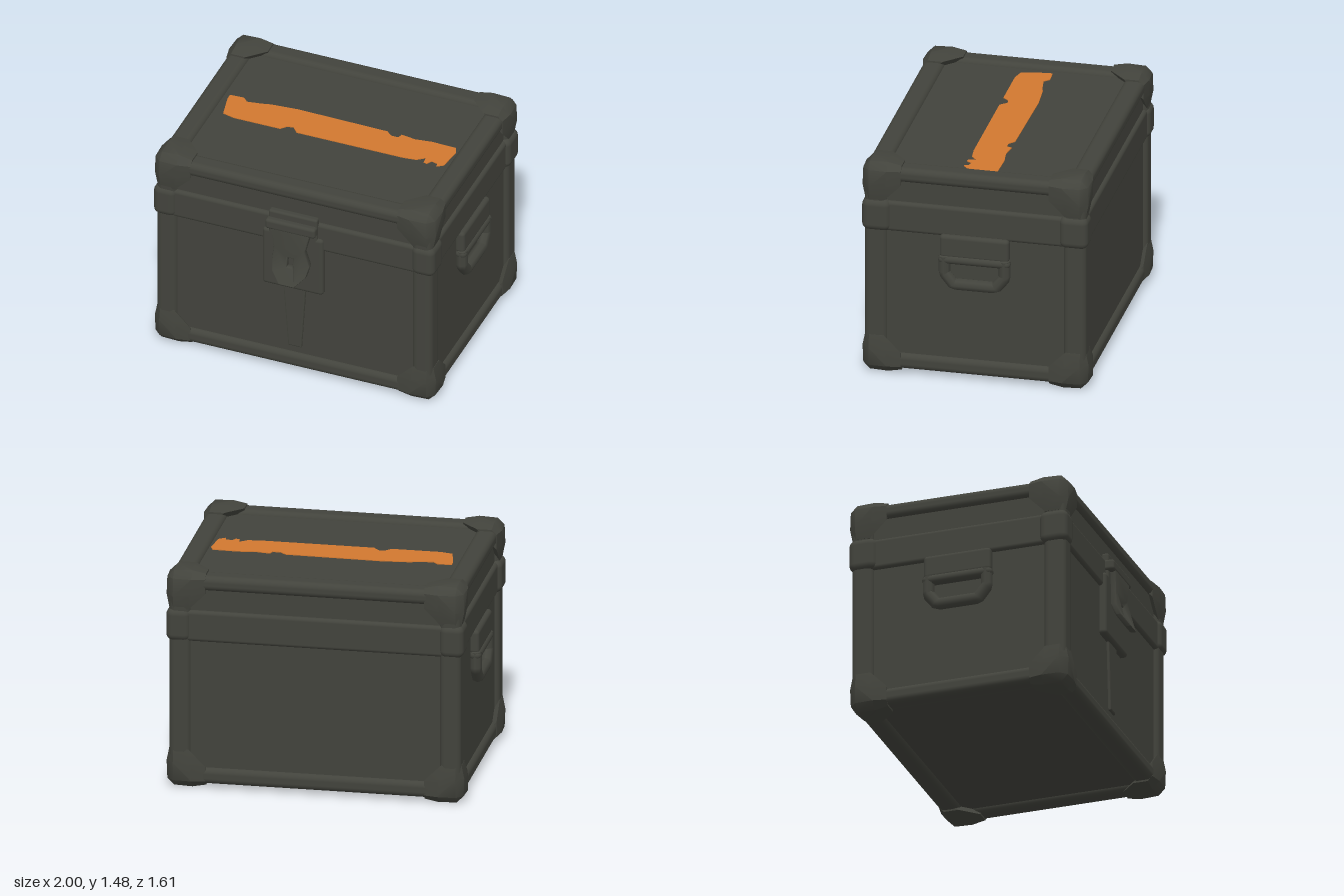
import * as THREE from 'three';
import { RoundedBoxGeometry } from 'three/addons/geometries/RoundedBoxGeometry.js';
import { ConvexGeometry } from 'three/addons/geometries/ConvexGeometry.js';
import { toCreasedNormals } from 'three/addons/utils/BufferGeometryUtils.js';

const ZC = -0.06; // centre of the case in depth
const HX = 0.96, HZ = 0.735; // half width and half depth over the rails
const Y0 = 0.03, Y1 = 1.45;

export function createModel() {
  const darkPaint = new THREE.MeshStandardMaterial({ color: 0x42433c });
  darkPaint.name = 'dark olive paint';
  const orangePaint = new THREE.MeshStandardMaterial({ color: 0xd1782f });
  orangePaint.name = 'orange paint';

  const model = new THREE.Group();
  model.name = 'storageCase';

  const add = (name, geometry, parent = model, material = darkPaint) => {
    const mesh = new THREE.Mesh(geometry, material);
    mesh.name = name;
    parent.add(mesh);
    return mesh;
  };
  // Rounded box given by its limits on each axis
  const box = (name, x, y, z, r = 0.03, parent = model) => {
    const mesh = add(name, new RoundedBoxGeometry(x[1] - x[0], y[1] - y[0], z[1] - z[0], 3, r), parent);
    mesh.position.set((x[0] + x[1]) / 2, (y[0] + y[1]) / 2, (z[0] + z[1]) / 2);
    return mesh;
  };
  // Limits of a strip running inward from an outer face
  const strip = (s, outer, width, c = 0) =>
    s > 0 ? [c + outer - width, c + outer] : [c - outer, c - outer + width];

  // Recessed panels and the lid lip
  box('bodyPanels', [-HX + 0.03, HX - 0.03], [Y0 + 0.03, 1.42], [ZC - HZ + 0.03, ZC + HZ - 0.03], 0.02);
  box('lidLip', [-HX + 0.005, HX - 0.005], [1.0, 1.21], [ZC - HZ + 0.005, ZC + HZ - 0.005], 0.025);

  // Edge rails
  const rails = new THREE.Group();
  rails.name = 'edgeRails';
  model.add(rails);
  const SIGNS = [-1, 1];
  for (const a of SIGNS) {
    for (const b of SIGNS) {
      box('uprightRail', strip(a, HX, 0.14), [Y0 + 0.02, Y1 - 0.02], strip(b, HZ, 0.15, ZC), 0.04, rails);
      const y = a > 0 ? [Y1 - 0.1, Y1] : [Y0, Y0 + 0.11];
      box('longRail', [-HX + 0.03, HX - 0.03], y, strip(b, HZ, 0.14, ZC), 0.04, rails);
      box('sideRail', strip(b, HX, 0.14), y, [ZC - HZ + 0.03, ZC + HZ - 0.03], 0.04, rails);
    }
  }

  // Corner caps: three short arms hulled together, measured inward from the corner
  const capPoints = [];
  const put = (axis, along, p, q) => {
    const v = [0, 0, 0];
    v[axis] = along;
    v[(axis + 1) % 3] = p;
    v[(axis + 2) % 3] = q;
    capPoints.push(v);
  };
  const W = 0.15, B = 0.05;
  for (let axis = 0; axis < 3; axis++) {
    put(axis, 0.005, B, B);
    for (const [along, e] of [[0.17, 0], [0.26, 0.018]]) {
      put(axis, along, e, B);
      put(axis, along, B, e);
      put(axis, along, e, W);
      put(axis, along, W, e);
    }
  }
  const caps = new THREE.Group();
  caps.name = 'cornerCaps';
  model.add(caps);
  for (const sx of SIGNS) {
    for (const sz of SIGNS) {
      for (const sy of SIGNS) {
        const pts = capPoints.map(([x, y, z]) => new THREE.Vector3(
          sx * (0.98 - x), sy > 0 ? 1.48 - y : y, ZC + sz * (0.75 - z)));
        add('cornerCap', toCreasedNormals(new ConvexGeometry(pts), 0.75), caps);
      }
      // Collar of the lid lip
      box('lipCap', strip(sx, 0.98, 0.16), [1.0, 1.22], strip(sz, 0.75, 0.19, ZC), 0.045, caps);
    }
  }

  // Carrying handles on both sides
  for (const s of SIGNS) {
    const handle = new THREE.Group();
    handle.name = s > 0 ? 'leftHandle' : 'rightHandle';
    model.add(handle);
    const loop = [[-0.2, 0.87], [-0.2, 0.75], [-0.14, 0.675], [0.14, 0.675], [0.2, 0.75], [0.2, 0.87]]
      .map(([z, y]) => new THREE.Vector3(s * 0.96, y, ZC + z));
    const path = new THREE.CurvePath();
    for (let i = 1; i < loop.length; i++) path.add(new THREE.LineCurve3(loop[i - 1], loop[i]));
    add('handleGrip', new THREE.TubeGeometry(path, 40, 0.04, 8), handle);
    box('handlePlate', strip(s, 0.985, 0.07), [0.86, 1.02], [ZC - 0.23, ZC + 0.23], 0.025, handle);
    box('handleHinge', strip(s, 0.998, 0.08), [0.82, 0.88], [ZC - 0.24, ZC + 0.24], 0.03, handle);
  }

  // Front latch
  const latch = new THREE.Group();
  latch.name = 'latch';
  model.add(latch);
  box('latchPlate', [-0.215, 0.21], [0.66, 1.1], [0.62, 0.69], 0.025, latch);
  box('latchBracket', [-0.18, 0.17], [1.125, 1.2], [0.65, 0.73], 0.02, latch);
  box('latchMount', [-0.17, 0.17], [1.05, 1.25], [0.64, 0.69], 0.015, latch);

  const tongue = new THREE.Shape();
  tongue.moveTo(-0.13, 1.15);
  tongue.lineTo(-0.11, 1.0);
  tongue.lineTo(-0.12, 0.9);
  tongue.lineTo(-0.11, 0.83);
  tongue.lineTo(-0.05, 0.77);
  tongue.lineTo(0.05, 0.77);
  tongue.lineTo(0.11, 0.83);
  tongue.lineTo(0.125, 0.9);
  tongue.lineTo(0.09, 1.0);
  tongue.lineTo(0.13, 1.15);
  const slot = new THREE.Path();
  slot.moveTo(-0.03, 0.86);
  slot.lineTo(0.025, 0.86);
  slot.lineTo(0.025, 0.94);
  slot.lineTo(-0.03, 0.94);
  tongue.holes.push(slot);
  const tongueGeometry = new THREE.ExtrudeGeometry(tongue, {
    depth: 0.025, bevelSize: 0.008, bevelThickness: 0.008, bevelSegments: 2 });
  // Flare the lower end outwards
  const pos = tongueGeometry.attributes.position;
  for (let i = 0; i < pos.count; i++) {
    const drop = Math.max(0, 0.95 - pos.getY(i)) / 0.19;
    pos.setZ(i, pos.getZ(i) + 0.694 + 0.08 * drop * drop);
  }
  tongueGeometry.deleteAttribute('uv');
  add('latchTongue', toCreasedNormals(tongueGeometry, 0.7), latch);

  // Tapered strap rib below the latch
  const rib = new THREE.Shape([[-0.07, 0.68], [-0.035, 0.2], [0.04, 0.2], [0.07, 0.68]]
    .map(([x, y]) => new THREE.Vector2(x, y)));
  add('strapRib', new THREE.ExtrudeGeometry(rib, {
    depth: 0.015, bevelSize: 0.01, bevelThickness: 0.01, bevelSegments: 2 }), latch).position.z = 0.637;

  // Worn paint stripe on the lid, outline as x and z
  const outline = [
    [-0.785, -0.175], [-0.69, -0.18], [-0.655, -0.145], [-0.56, -0.16], [-0.5, -0.175], [-0.32, -0.19],
    [0.31, -0.18], [0.35, -0.145], [0.4, -0.145], [0.41, -0.18], [0.51, -0.165], [0.62, -0.18],
    [0.79, -0.175], [0.81, -0.13], [0.79, 0.03], [0.75, 0.06], [0.74, 0.03], [0.7, 0.02],
    [0.68, 0.055], [0.655, 0.05], [0.65, 0], [0.6, 0.04], [0.51, 0.05], [-0.23, 0.05],
    [-0.27, 0.005], [-0.31, 0.01], [-0.345, 0.05], [-0.67, 0.05], [-0.75, 0.03], [-0.785, -0.13]];
  const stripe = new THREE.Shape(outline.map(([x, z]) => new THREE.Vector2(x, -z)));
  const stripeGeometry = new THREE.ExtrudeGeometry(stripe, { depth: 0.006, bevelEnabled: false });
  stripeGeometry.rotateX(-Math.PI / 2);
  add('paintStripe', stripeGeometry, model, orangePaint).position.y = 1.419;

  return model;
}
